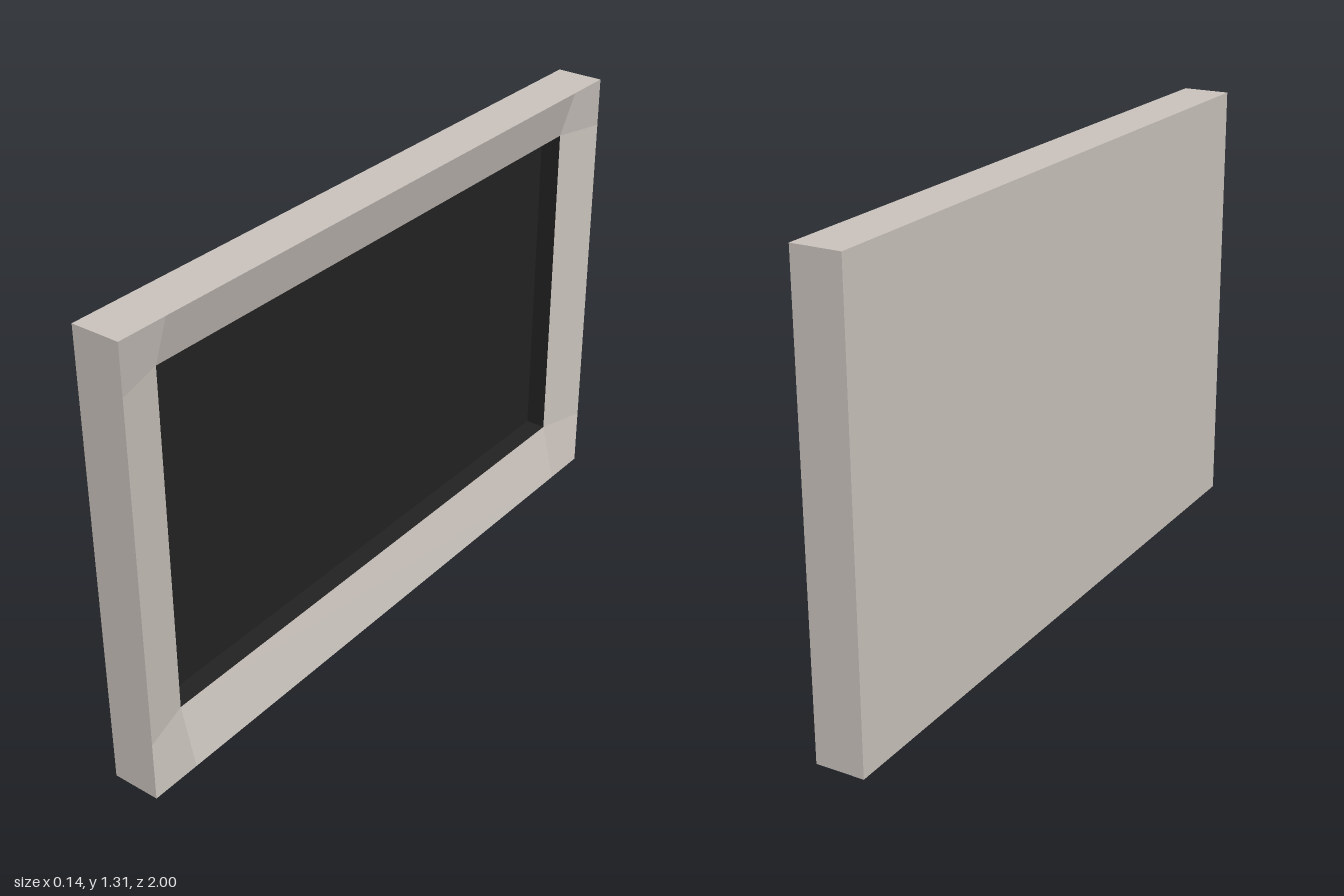
import * as THREE from 'three';

const FRONT = 0.07, RIM = 0.028, FLOOR = -0.033, BACK = -0.07;
const Z = [1, 0.85, -0.86, -1];      // frame lines across the panel
const Y = [0, 0.175, 1.17, 1.31];    // frame lines up the panel

const frameMat = new THREE.MeshStandardMaterial({ color: 0xc9c2bc });
frameMat.name = 'warm grey';
const screenMat = new THREE.MeshStandardMaterial({ color: 0x222222 });
screenMat.name = 'near black';

// Flat-shaded quads; each gets one normal, taken from its diagonals
function quadMesh(name, quads, material) {
  const pos = [], nor = [];
  for (const [a, b, c, d] of quads) {
    const n = c.clone().sub(a).cross(d.clone().sub(b)).normalize();
    for (const p of [a, b, c, a, c, d]) {
      pos.push(p.x, p.y, p.z);
      nor.push(n.x, n.y, n.z);
    }
  }
  const geo = new THREE.BufferGeometry();
  geo.setAttribute('position', new THREE.Float32BufferAttribute(pos, 3));
  geo.setAttribute('normal', new THREE.Float32BufferAttribute(nor, 3));
  const mesh = new THREE.Mesh(geo, material);
  mesh.name = name;
  return mesh;
}

// Rectangle at depth x, anticlockwise seen from +x
function rect(x, inset) {
  const i = inset ? 1 : 0, j = 3 - i;
  return [[i, i], [j, i], [j, j], [i, j]].map(([z, y]) => new THREE.Vector3(x, Y[y], Z[z]));
}

// Four walls joining one rectangle to another
const walls = (p, q) => p.map((_, k) => [p[k], q[k], q[(k + 1) % 4], p[(k + 1) % 4]]);

export function createModel() {
  const group = new THREE.Group();
  group.name = 'wallScreen';

  // Outer casing: four edges and the back
  const back = rect(BACK, false);
  group.add(quadMesh('casing', [...walls(rect(FRONT, false), back), back.slice().reverse()], frameMat));

  // Bezel: strips and corner patches sloping in to the opening
  const at = (i, j) => new THREE.Vector3(
    i > 0 && i < 3 && j > 0 && j < 3 ? RIM : FRONT, Y[j], Z[i]);
  const bezel = [];
  for (let i = 0; i < 3; i++) {
    for (let j = 0; j < 3; j++) {
      if (i === 1 && j === 1) continue;
      const q = [at(i, j), at(i + 1, j), at(i + 1, j + 1), at(i, j + 1)];
      if (i !== j) q.push(q.shift()); // fold corners along the mitre
      bezel.push(q);
    }
  }
  group.add(quadMesh('bezel', bezel, frameMat));

  // Recess: dark floor and three dark walls, one wall in the frame colour
  const floor = rect(FLOOR, true);
  const inner = walls(floor, rect(RIM, true));
  group.add(quadMesh('screen', [floor], screenMat));
  group.add(quadMesh('recessWalls', inner.slice(0, 3), screenMat));
  group.add(quadMesh('recessSideWall', inner.slice(3), frameMat));

  return group;
}
